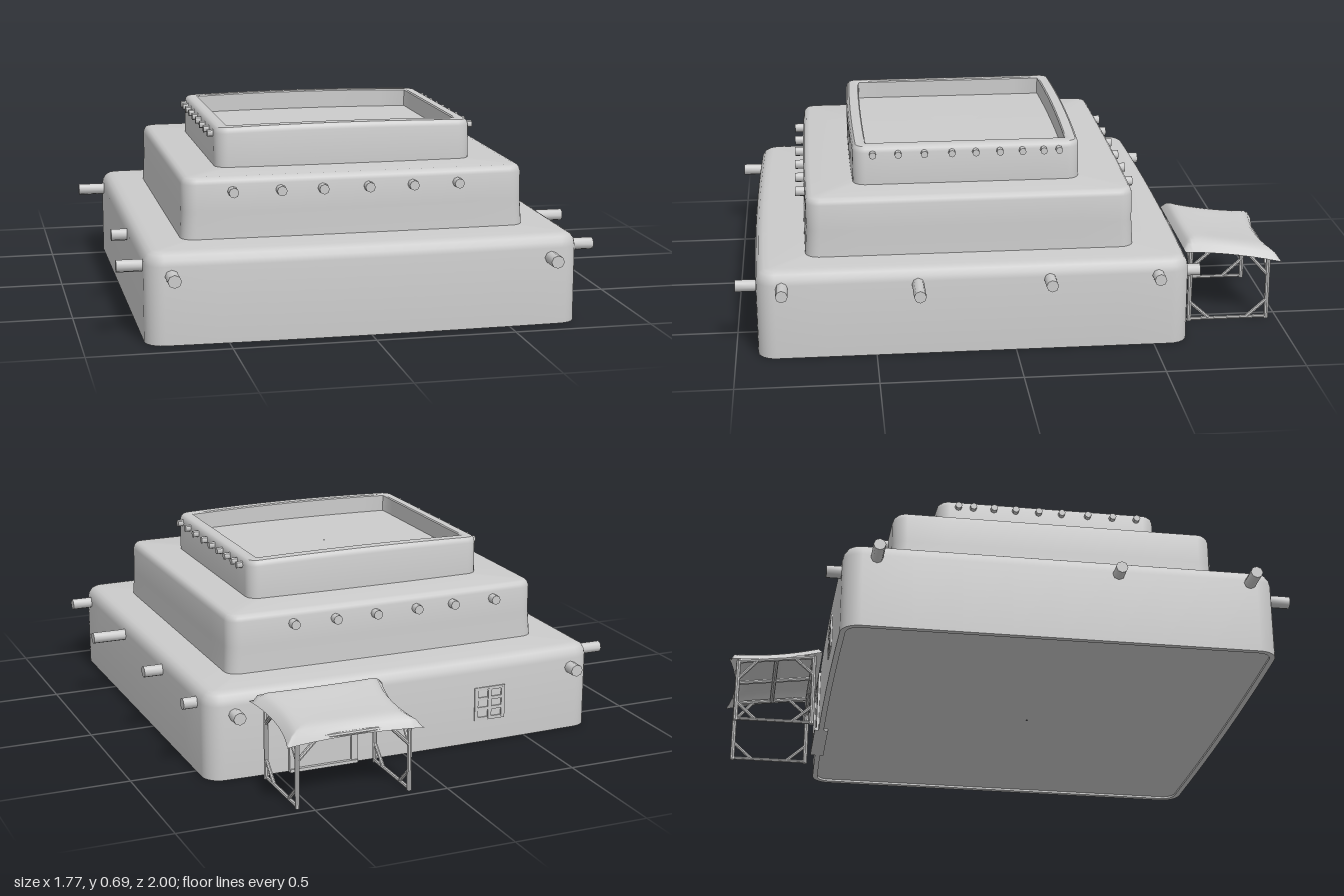
import * as THREE from 'three';
import { toCreasedNormals } from 'three/addons/utils/BufferGeometryUtils.js';

const grey = new THREE.MeshStandardMaterial({ color: 0xcccccc });
const cloth = new THREE.MeshStandardMaterial({ color: 0xcccccc, side: THREE.DoubleSide });

function add(parent, name, geometry, material = grey) {
  const mesh = new THREE.Mesh(geometry, material);
  mesh.name = name;
  parent.add(mesh);
  return mesh;
}

// Rounded rectangle loop, with subdivided edges so that walls can bow
function roundedLoop(hw, hd, r) {
  const pts = [], arc = 6, edge = 8;
  for (let c = 0; c < 4; c++) {
    const sx = c === 0 || c === 3 ? 1 : -1, sz = c < 2 ? 1 : -1;
    for (let k = 0; k <= arc; k++) {
      const a = (c + k / arc) * Math.PI / 2;
      pts.push([sx * (hw - r) + r * Math.cos(a), sz * (hd - r) + r * Math.sin(a)]);
    }
    const last = pts[pts.length - 1];
    const next = [[-(hw - r), hd], [-hw, -(hd - r)], [hw - r, -hd], [hw, hd - r]][c];
    for (let k = 1; k < edge; k++) {
      const t = k / edge;
      pts.push([last[0] + (next[0] - last[0]) * t, last[1] + (next[1] - last[1]) * t]);
    }
  }
  return pts;
}

// Storey lofted through a profile of [inset, height] steps
function tierGeometry({ x0, x1, z0, z1, r, profile, bow, crown, y0, y1 }) {
  const hw = (x1 - x0) / 2, hd = (z1 - z0) / 2, cx = (x0 + x1) / 2, cz = (z0 + z1) / 2;
  const pos = [], idx = [];
  let n = 0;
  for (const [inset, y] of profile) {
    const rr = Math.max(0.003, r - Math.max(0, inset));
    const loop = roundedLoop(Math.max(hw - inset, rr), Math.max(hd - inset, rr), rr);
    n = loop.length;
    for (const [x, z] of loop) {
      const b = 1 - (x / hw) ** 2;
      pos.push(cx + x, y + crown * b * (y - y0) / (y1 - y0), cz + z + bow * b * z / hd);
    }
  }
  for (let j = 0; j < profile.length - 1; j++)
    for (let i = 0; i < n; i++) {
      const k = (i + 1) % n, a = j * n + i, b = a + n, c = j * n + k, d = c + n;
      idx.push(a, b, c, c, b, d);
    }
  const g = new THREE.BufferGeometry();
  g.setAttribute('position', new THREE.Float32BufferAttribute(pos, 3));
  g.setIndex(idx);
  return toCreasedNormals(g, 0.7);
}

// Round bar between two points
function bar(parent, name, a, b, radius, sides = 8) {
  const A = new THREE.Vector3(...a), B = new THREE.Vector3(...b);
  const d = B.clone().sub(A);
  const m = add(parent, name, toCreasedNormals(new THREE.CylinderGeometry(radius, radius, d.length(), sides), 0.9));
  m.position.copy(A).add(B).multiplyScalar(0.5);
  m.quaternion.setFromUnitVectors(new THREE.Vector3(0, 1, 0), d.normalize());
  return m;
}

function box(parent, name, x0, x1, y0, y1, z0, z1) {
  const m = add(parent, name, new THREE.BoxGeometry(x1 - x0, y1 - y0, z1 - z0));
  m.position.set((x0 + x1) / 2, (y0 + y1) / 2, (z0 + z1) / 2);
}

function buildTiers(root) {
  add(root, 'lowerStorey', tierGeometry({
    x0: -0.785, x1: 0.755, z0: -0.625, z1: 0.92, r: 0.065, bow: 0.013, crown: 0, y0: 0, y1: 0.325,
    profile: [[2, 0.008], [0.02, 0.008], [0.02, 0], [0, 0], [0, 0.275], [0.004, 0.295], [0.015, 0.312],
      [0.03, 0.32], [0.05, 0.323], [2, 0.327]],
  }));
  add(root, 'middleStorey', tierGeometry({
    x0: -0.63, x1: 0.602, z0: -0.44, z1: 0.738, r: 0.05, bow: 0.006, crown: 0, y0: 0.31, y1: 0.54,
    profile: [[-0.006, 0.31], [0, 0.42], [0, 0.515], [0.004, 0.528], [0.012, 0.537], [0.025, 0.54], [2, 0.542]],
  }));
  // Top storey with a parapet around a sunken roof
  add(root, 'upperStorey', tierGeometry({
    x0: -0.485, x1: 0.455, z0: -0.262, z1: 0.563, r: 0.045, bow: 0.008, crown: 0.008, y0: 0.53, y1: 0.682,
    profile: [[0, 0.53], [0, 0.66], [0.004, 0.673], [0.012, 0.681], [0.025, 0.682], [0.046, 0.682],
      [0.05, 0.678], [0.05, 0.615], [2, 0.615]],
  }));
}

function buildPegs(root) {
  const pegs = new THREE.Group();
  pegs.name = 'beamEnds';
  root.add(pegs);
  // Long beams through the side walls: [z, outer x]
  for (const [z, x] of [[-0.51, 0.805], [-0.12, 0.825], [0.35, 0.882], [0.83, 0.832],
    [-0.51, -0.885], [0.35, -0.842], [0.83, -0.875]])
    bar(pegs, 'sideBeam', [Math.sign(x) * 0.7, 0.265, z], [x, 0.265, z], 0.022);
  // Squared beams near the front and back corners
  for (const x of [-0.695, 0.65])
    for (const [a, b] of [[0.85, 0.997], [-0.55, -0.68]])
      bar(pegs, 'cornerBeam', [x, 0.242, a], [x, 0.242, b], 0.024, 8).scale.z = 0.95;
  // Middle storey, front and back
  for (const x of [-0.455, -0.285, -0.135, 0.03, 0.19, 0.355])
    for (const [a, b] of [[0.68, 0.775], [-0.4, -0.475]])
      bar(pegs, 'middleBeam', [x, 0.49, a], [x, 0.49, b], 0.018);
  // Upper storey, both sides
  for (const z of [0.492, 0.4, 0.305, 0.205, 0.118, 0.03, -0.052, -0.13, -0.186])
    for (const [a, b] of [[0.42, 0.477], [-0.45, -0.505]])
      bar(pegs, 'upperBeam', [a, 0.655, z], [b, 0.655, z], 0.013);
}

// Barred window and doorway in the back wall
function buildOpenings(root) {
  const win = new THREE.Group();
  win.name = 'window';
  root.add(win);
  const x = -0.35, y = 0.15, w = 0.055, h = 0.058, z = -0.634;
  for (const i of [-1, 0, 1])
    box(win, 'windowBar', x + i * w - 0.007, x + i * w + 0.007, y - h, y + h, z - 0.007, z + 0.02);
  for (const i of [-1, -0.33, 0.33, 1])
    box(win, 'windowCrossbar', x - w - 0.007, x + w + 0.007, y + i * h - 0.006, y + i * h + 0.006, z - 0.006, z + 0.02);

  const door = new THREE.Group();
  door.name = 'doorway';
  root.add(door);
  for (const dx of [0.2, 0.44]) box(door, 'doorJamb', dx - 0.012, dx + 0.012, 0, 0.24, -0.646, -0.6);
  box(door, 'doorLintel', 0.188, 0.452, 0.22, 0.245, -0.646, -0.6);
  box(door, 'doorPanel', 0.2, 0.44, 0.01, 0.23, -0.639, -0.6);
  box(door, 'threshold', 0.188, 0.452, 0, 0.012, -0.652, -0.6);
}

function buildAwning(root) {
  const awning = new THREE.Group();
  awning.name = 'awning';
  root.add(awning);
  // Draped cloth: pinched sides, sagging middle, hanging hem
  const g = new THREE.PlaneGeometry(2, 2, 24, 24).rotateX(-Math.PI / 2);
  const p = g.attributes.position;
  for (let i = 0; i < p.count; i++) {
    const u = p.getX(i), v = -p.getZ(i); // v = 1 at the outer edge
    const t = (v + 1) / 2;
    const pinchX = 1 - 0.11 * (1 - v * v), pinchZ = 0.03 * t * (1 - u * u);
    const hem = Math.max(Math.abs(u) ** 10, Math.abs(v) ** 10);
    p.setXYZ(i, 0.345 + 0.255 * u * pinchX,
      0.334 - 0.05 * t - 0.045 * hem - 0.012 * (1 - u * u) * (1 - v * v),
      -0.638 - 0.36 * t + pinchZ);
  }
  g.computeVertexNormals();
  add(awning, 'awningCloth', g, cloth);

  // Two braced side frames
  const zi = -0.668, zo = -0.96, r = 0.009, c = 0.075;
  const top = z => 0.284 - 0.13 * (zi - z);
  for (const x of [0.13, 0.55]) {
    for (const z of [zi, zo]) {
      const s = z === zi ? -1 : 1;
      bar(awning, 'awningPost', [x, 0, z], [x, top(z), z], r);
      bar(awning, 'lowerBrace', [x, c, z], [x, 0.008, z + s * c], r * 0.8);
      bar(awning, 'upperBrace', [x, top(z) - c, z], [x, top(z + s * c), z + s * c], r * 0.8);
      const sx = x < 0.3 ? 1 : -1;
      bar(awning, 'railBrace', [x, top(z) - c, z], [x + sx * c, top(z), z], r * 0.8);
    }
    bar(awning, 'groundRail', [x, 0.007, zi], [x, 0.007, zo], 0.007);
    bar(awning, 'sideRail', [x, top(zi), zi], [x, top(zo), zo], r);
  }
  // Rails carrying the cloth
  for (const z of [zi, (zi + zo) / 2, zo])
    bar(awning, 'crossRail', [0.13, top(z), z], [0.55, top(z), z], r);
  bar(awning, 'middleRail', [0.34, top(zi), zi], [0.34, top(zo), zo], r);
}

export function createModel() {
  const root = new THREE.Group();
  root.name = 'terracedHouse';
  buildTiers(root);
  buildPegs(root);
  buildOpenings(root);
  buildAwning(root);
  return root;
}
